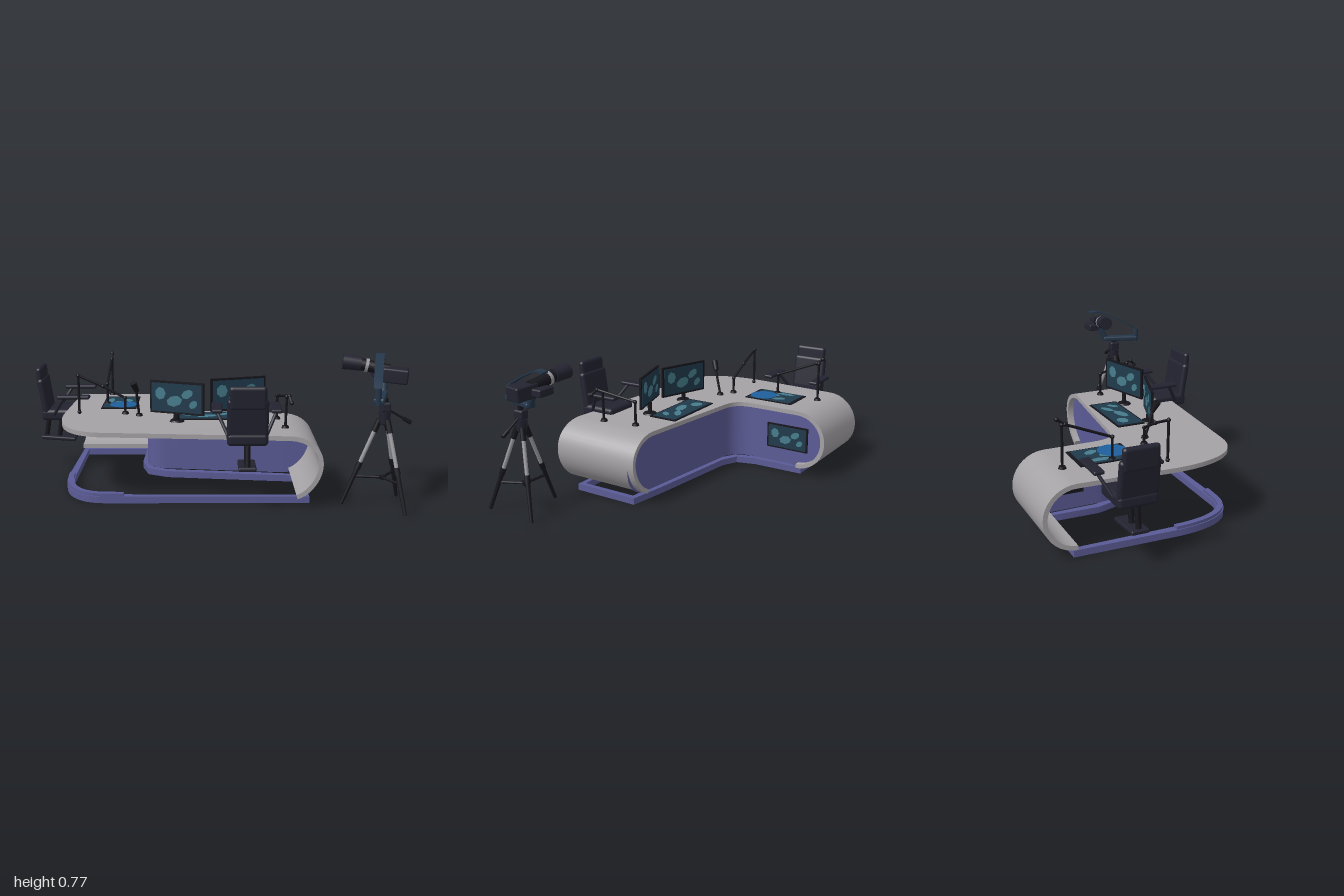
import * as THREE from 'three';
import { toCreasedNormals } from 'three/addons/utils/BufferGeometryUtils.js';
import { RoundedBoxGeometry } from 'three/addons/geometries/RoundedBoxGeometry.js';

const paint = (name, color, side = THREE.FrontSide) => {
  const m = new THREE.MeshStandardMaterial({ color, side });
  m.name = name;
  return m;
};
const shellGray = paint('shell gray', 0xa5a2a6, THREE.DoubleSide);
const violet = paint('violet', 0x5b5b96, THREE.DoubleSide);
const charcoal = paint('charcoal', 0x232331);
const black = paint('black', 0x15151c);
const metal = paint('light metal', 0x9a9aa0);
const slate = paint('slate blue', 0x24364a);
const teal = paint('screen teal', 0x1f3a4c);
const aqua = paint('screen aqua', 0x467c8c);
const blue = paint('screen blue', 0x1f5f9c);

const V = (x, y, z) => new THREE.Vector3(x, y, z);
const lerp = THREE.MathUtils.lerp;

function add(parent, name, geo, mat, x = 0, y = 0, z = 0) {
  const m = new THREE.Mesh(geo, mat);
  m.name = name;
  m.position.set(x, y, z);
  parent.add(m);
  return m;
}
function group(parent, name) {
  const g = new THREE.Group();
  g.name = name;
  parent.add(g);
  return g;
}
function rod(parent, name, a, b, r, mat, r2 = r, sides = 10) {
  const d = b.clone().sub(a);
  const m = add(parent, name, new THREE.CylinderGeometry(r2, r, d.length(), sides), mat);
  m.position.copy(a).addScaledVector(d, 0.5);
  m.quaternion.setFromUnitVectors(V(0, 1, 0), d.normalize());
  return m;
}

// Skin between successive cross-sections
function loft(sections, closed, crease = 0.6) {
  const pos = [], idx = [], k = sections[0].length;
  sections.forEach(s => s.forEach(p => pos.push(p.x, p.y, p.z)));
  for (let s = 0; s < sections.length - 1; s++)
    for (let j = 0; j < (closed ? k : k - 1); j++) {
      const a = s * k + j, b = s * k + (j + 1) % k;
      idx.push(a, b, a + k, b, b + k, a + k);
    }
  if (closed) for (const e of [0, (sections.length - 1) * k])
    for (let j = 1; j < k - 1; j++) idx.push(e, e + j, e + j + 1);
  const g = new THREE.BufferGeometry();
  g.setAttribute('position', new THREE.Float32BufferAttribute(pos, 3));
  g.setIndex(idx);
  return toCreasedNormals(g, crease);
}

// Stations along the L-shaped ribbon: inner edge i, outer edge o, height y, outward normal n
const MID = 0.21, R = 0.17;
function deskStations() {
  const list = [], N = 18;
  const bez = (...p) => new THREE.CubicBezierCurve(...p.map(q => new THREE.Vector2(...q)));
  const inner = bez([-0.345, -0.22], [-0.345, -0.11], [-0.32, -0.075], [-0.22, -0.063]);
  const outer = bez([-0.82, 0.03], [-0.82, 0.26], [-0.74, 0.42], [-0.56, 0.43]);
  const up = V(0, 1, 0);
  for (let k = 0; k <= N; k++) {
    const t = -Math.PI / 2 + Math.PI * k / N, c = Math.cos(t), s = Math.sin(t);
    const z = -0.475 - R * c;
    list.push({ i: [-0.345, z], o: [-0.798 + 0.01 * c, z], y: MID + R * s, n: V(0, s, -c), t });
  }
  for (let k = 0; k <= N; k++) {
    const a = inner.getPoint(k / N), b = outer.getPoint(k / N);
    list.push({ i: [a.x, a.y], o: [b.x, b.y], y: MID + R, n: up, t: 2 });
  }
  for (let k = 0; k <= N; k++) {
    const t = Math.PI / 2 - Math.PI * 0.9 * k / N, c = Math.cos(t), s = Math.sin(t);
    const x = 0.39 + R * c + 0.025 * s * c;
    list.push({ i: [x, 0.005], o: [x, 0.5 + 0.01 * c], y: MID + R * s, n: V(c, s, 0), t });
  }
  return list;
}

function buildDesk(root) {
  const desk = group(root, 'desk');
  const st = deskStations();
  add(desk, 'desk shell', loft(st.map(s => {
    const a = V(s.i[0], s.y, s.i[1]), b = V(s.o[0], s.y, s.o[1]);
    return [a, b, b.clone().addScaledVector(s.n, -0.024), a.clone().addScaledVector(s.n, -0.024)];
  }), true), shellGray);

  // Recessed panel closing the inner side
  add(desk, 'inner panel', loft(st.filter(s => s.t >= 0).map(s => {
    const dx = s.o[0] - s.i[0], dz = s.o[1] - s.i[1], f = 0.035 / Math.hypot(dx, dz);
    const h = s.t > 1.5 ? 0.165 : 0.165 * Math.sin(s.t);
    return [1, 0.33, -0.33, -1].map(v => V(s.i[0] + dx * f, MID + h * v, s.i[1] + dz * f));
  }), false), violet);

  // Floor rail following the footprint
  const corner = new THREE.CubicBezierCurve(new THREE.Vector2(-0.56, 0.405), new THREE.Vector2(-0.72, 0.4),
    new THREE.Vector2(-0.78, 0.25), new THREE.Vector2(-0.78, 0.05)).getPoints(14);
  const p2 = (x, z) => new THREE.Vector2(x, z);
  const loop = [p2(0.49, 0.06), p2(0.49, 0.41), ...corner, p2(-0.775, -0.48), p2(-0.385, -0.48),
    p2(-0.385, -0.2), p2(-0.35, -0.08), p2(-0.25, -0.03), p2(0.3, 0.035), p2(0.49, 0.06)];
  const rail = (pts, w, y0, y1) => loft(pts.map((p, k) => {
    const wrap = pts[0].equals(pts[pts.length - 1]), n = pts.length;
    const a = pts[k - 1] || (wrap ? pts[n - 2] : p), b = pts[k + 1] || (wrap ? pts[1] : p);
    const d1 = p.clone().sub(a).normalize(), d2 = b.clone().sub(p).normalize();
    const t = d1.add(d2).normalize();
    const s = w / 2, x = -t.y * s, z = t.x * s;
    return [V(p.x + x, y0, p.y + z), V(p.x - x, y0, p.y - z), V(p.x - x, y1, p.y - z), V(p.x + x, y1, p.y + z)];
  }), true);
  add(desk, 'floor rail', rail(loop, 0.04, 0, 0.036), violet);
  add(desk, 'corner kick rail', rail([p2(-0.46, 0.41), ...corner], 0.03, 0.036, 0.052), violet);
}

// Display with irregular light patches; faces +z, optionally both ways
function buildScreen(parent, name, w, h, depth, sides = 1, disc = false) {
  const g = group(parent, name);
  add(g, 'screen frame', new THREE.BoxGeometry(w, h, depth), black);
  const blobs = [[-0.3, 0.12, 0.1, 0.2], [-0.04, -0.1, 0.15, 0.17], [0.2, 0.14, 0.12, 0.13], [0.31, -0.17, 0.09, 0.11]];
  for (let s = 0; s < sides; s++) {
    const face = group(g, 'screen face');
    face.rotation.y = s * Math.PI;
    add(face, 'screen picture', new THREE.BoxGeometry(w * 0.93, h * 0.88, 0.002), teal, 0, 0, depth / 2 + 0.001);
    blobs.forEach(([x, y, rx, ry], k) => {
      const b = add(face, 'picture patch', new THREE.CircleGeometry(1, 7), aqua, x * w, y * h, depth / 2 + 0.003);
      b.scale.set(rx * w, ry * h, 1);
      b.rotation.z = k * 0.25;
    });
    if (disc) add(face, 'picture disc', new THREE.CircleGeometry(0.078, 24), blue, 0.02, -h * 0.23, depth / 2 + 0.004);
  }
  return g;
}

function buildScreens(root) {
  for (const [x, y, z, turn, h] of [[-0.187, 0.508, 0.19, -0.33, 0.175], [0.138, 0.533, 0.198, 0.29, 0.175]]) {
    const m = buildScreen(root, 'monitor', 0.305, h, 0.012, 2);
    m.position.set(x, y, z);
    m.rotation.y = turn;
    rod(root, 'monitor stand', V(x, 0.38, z), V(x, y - h / 2, z), 0.012, black);
    add(root, 'monitor foot', new THREE.CylinderGeometry(0.035, 0.04, 0.008, 20), black, x, 0.384, z);
  }
  const long = buildScreen(root, 'desk touch screen', 0.395, 0.165, 0.006);
  long.rotation.x = -Math.PI / 2;
  long.position.set(-0.013, 0.382, 0.083);
  const side = buildScreen(root, 'side touch screen', 0.2, 0.3, 0.006, 1, true);
  side.rotation.x = -Math.PI / 2;
  side.position.set(-0.53, 0.382, -0.24);
  const wall = buildScreen(root, 'panel screen', 0.255, 0.145, 0.012);
  wall.rotation.y = Math.PI / 2;
  wall.position.set(-0.376, 0.202, -0.402);
}

// Chair facing +x
function buildChair(root, x, y, z, turn) {
  const c = group(root, 'chair');
  const pad = (name, w, h, d, px, py, pz, r = 0.02) =>
    add(c, name, new RoundedBoxGeometry(w, h, d, 3, r), charcoal, px, py, pz);
  pad('chair seat', 0.21, 0.065, 0.205, 0.025, 0.328, 0);
  pad('chair back', 0.04, 0.21, 0.205, -0.068, 0.435, 0, 0.019).rotation.z = 0.14;
  pad('chair headrest', 0.035, 0.12, 0.185, -0.087, 0.542, 0, 0.017).rotation.z = 0.06;
  for (const s of [-1, 1]) {
    pad('armrest', 0.185, 0.02, 0.055, 0.115, 0.448, s * 0.15, 0.009);
    rod(c, 'armrest support', V(-0.01, 0.33, s * 0.095), V(0.06, 0.44, s * 0.15), 0.009, charcoal);
  }
  rod(c, 'chair strut', V(-0.055, 0.31, 0), V(-0.075, 0.18, 0), 0.014, black);
  rod(c, 'chair strut', V(0.02, 0.31, 0), V(0.0, 0.18, 0), 0.014, black);
  const foot = pad('chair foot', 0.2, 0.022, 0.09, 0, 0.174, 0, 0.008);
  foot.rotation.z = -0.07;
  c.position.set(x, y, z);
  c.rotation.y = turn;
}

// Jointed microphone arm through a list of points
function buildArm(root, pts) {
  const g = group(root, 'microphone arm'), p = pts.map(q => V(...q));
  add(g, 'arm foot', new THREE.CylinderGeometry(0.016, 0.02, 0.012, 16), black, p[0].x, 0.386, p[0].z);
  for (let k = 0; k < p.length - 1; k++) {
    rod(g, 'arm segment', p[k], p[k + 1], 0.007, black);
    add(g, 'arm joint', new THREE.SphereGeometry(0.011, 10, 8), black, p[k + 1].x, p[k + 1].y, p[k + 1].z);
  }
}

function buildTripod(root) {
  const t = group(root, 'camera tripod'), cx = 0.865, cz = 0.465;
  for (const [fx, fz] of [[0.665, 0.45], [0.955, 0.635], [0.975, 0.33]]) {
    const foot = V(fx, 0.008, fz), top = V(lerp(cx, fx, 0.12), 0.46, lerp(cz, fz, 0.12));
    const at = f => foot.clone().lerp(top, f);
    rod(t, 'lower leg', foot, at(0.48), 0.009, black, 0.012);
    rod(t, 'upper leg', at(0.45), at(0.9), 0.01, metal);
    rod(t, 'leg collar', at(0.42), at(0.5), 0.015, black);
    rod(t, 'leg hinge', at(0.86), top, 0.015, black);
    rod(t, 'leg brace', V(cx, 0.155, cz), at(0.33), 0.007, black);
  }
  add(t, 'brace hub', new THREE.CylinderGeometry(0.03, 0.03, 0.015, 3), black, cx, 0.155, cz);
  rod(t, 'centre column', V(cx, 0.43, cz), V(cx, 0.57, cz), 0.014, black);
  add(t, 'tripod hub', new THREE.CylinderGeometry(0.032, 0.026, 0.06, 12), charcoal, cx, 0.47, cz);
  add(t, 'pan head', new RoundedBoxGeometry(0.05, 0.05, 0.06, 2, 0.01), charcoal, cx, 0.525, cz);
  rod(t, 'pan handle', V(cx, 0.52, cz), V(0.975, 0.455, 0.465), 0.006, black);
  rod(t, 'handle grip', V(0.96, 0.464, 0.465), V(0.998, 0.442, 0.465), 0.011, black);

  // Swing bar with curved strip above it
  const bar = add(t, 'swing bar', new RoundedBoxGeometry(0.055, 0.03, 0.22, 2, 0.01), slate, 0.835, 0.58, 0.495);
  bar.rotation.y = -0.28;
  rod(t, 'swing post', V(0.805, 0.56, 0.59), V(0.8, 0.645, 0.595), 0.016, slate);
  const path = new THREE.CatmullRomCurve3([V(0.8, 0.64, 0.595), V(0.81, 0.675, 0.54), V(0.835, 0.735, 0.42),
    V(0.855, 0.765, 0.34), V(0.865, 0.762, 0.29)]);
  add(t, 'curved strip', loft(path.getPoints(16).map(p => [V(p.x - 0.022, p.y - 0.004, p.z), V(p.x + 0.022, p.y - 0.004, p.z),
    V(p.x + 0.022, p.y + 0.004, p.z), V(p.x - 0.022, p.y + 0.004, p.z)].reverse()), true), slate);

  // Camera
  add(t, 'camera body', new RoundedBoxGeometry(0.13, 0.075, 0.1, 2, 0.01), charcoal, 0.925, 0.67, 0.385).rotation.set(0, -0.2, -0.08);
  add(t, 'camera side box', new RoundedBoxGeometry(0.1, 0.04, 0.06, 2, 0.008), charcoal, 0.87, 0.668, 0.305);
  rod(t, 'lens barrel', V(0.71, 0.725, 0.325), V(0.9, 0.69, 0.36), 0.032, black, 0.03, 18);
  rod(t, 'lens hood', V(0.668, 0.728, 0.32), V(0.76, 0.718, 0.332), 0.04, charcoal, 0.036, 18);
  rod(t, 'lens ring', V(0.78, 0.713, 0.338), V(0.795, 0.71, 0.34), 0.035, metal, 0.035, 18);
  rod(t, 'camera mount', V(0.865, 0.58, 0.4), V(0.87, 0.65, 0.37), 0.02, slate);
}

export function createModel() {
  const root = new THREE.Group();
  root.name = 'broadcast desk set';
  buildDesk(root);
  buildScreens(root);
  buildChair(root, -0.9, 0, -0.25, 0);
  buildChair(root, 0.175, 0.05, 0.49, Math.PI / 2);
  buildArm(root, [[-0.48, 0.38, 0.02], [-0.48, 0.47, 0.02], [-0.6, 0.535, 0.02], [-0.735, 0.595, 0.02], [-0.735, 0.39, 0.02]]);
  buildArm(root, [[-0.605, 0.38, -0.215], [-0.605, 0.5, -0.215], [-0.605, 0.6, -0.46], [-0.605, 0.63, -0.5]]);
  buildArm(root, [[-0.605, 0.38, -0.475], [-0.605, 0.6, -0.475]]);
  buildArm(root, [[0.35, 0.38, 0.14], [0.35, 0.51, 0.14], [0.395, 0.555, 0.36], [0.405, 0.525, 0.39]]);
  buildArm(root, [[0.38, 0.38, 0.33], [0.385, 0.545, 0.33]]);
  // Small desk microphone
  buildArm(root, [[-0.4, 0.38, 0.065], [-0.41, 0.53, 0.105]]);
  rod(root, 'microphone head', V(-0.408, 0.525, 0.1), V(-0.425, 0.575, 0.122), 0.014, black, 0.018);
  buildTripod(root);
  return root;
}
